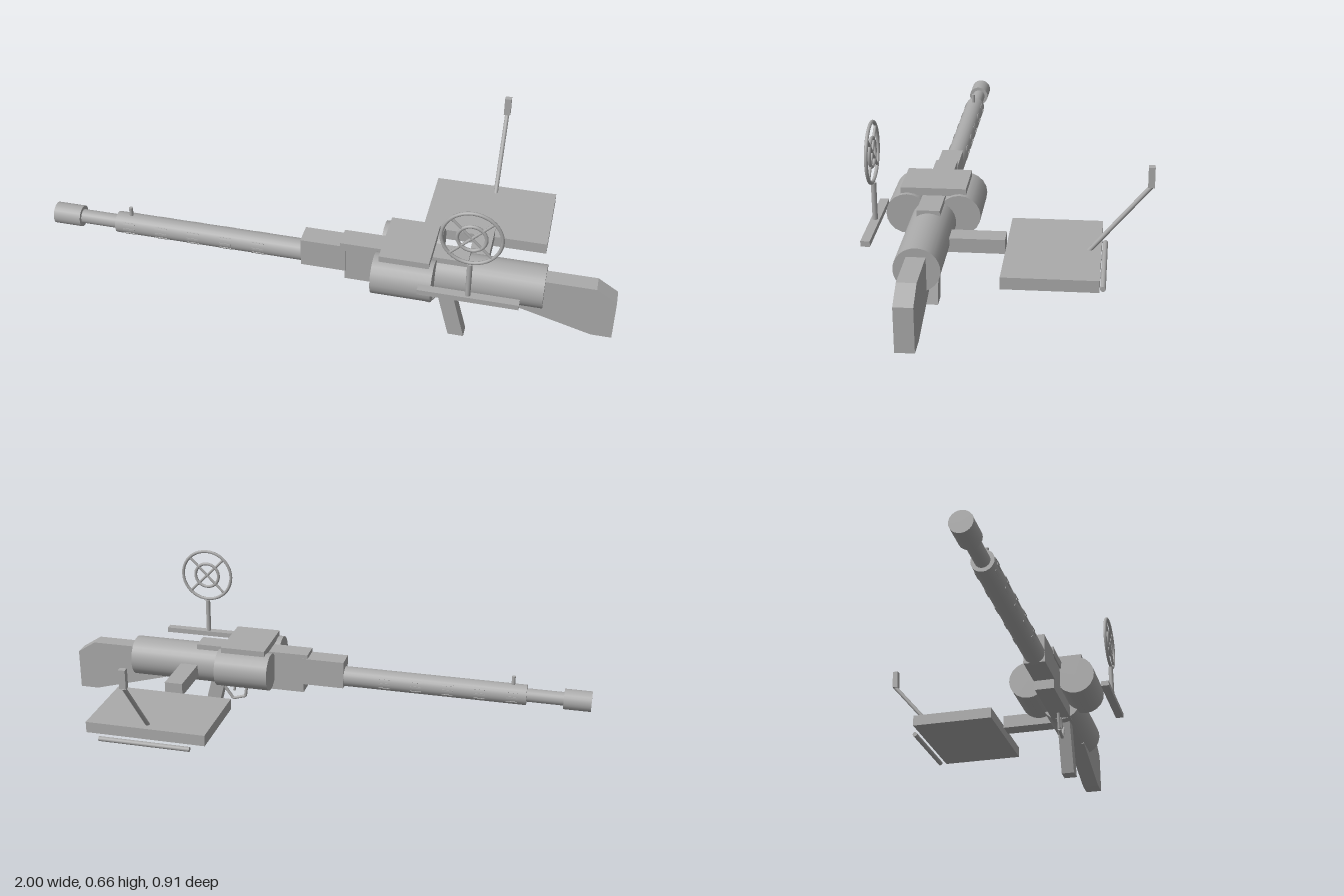
import * as THREE from 'three';

export function createModel() {
  const group = new THREE.Group();
  const metal = new THREE.MeshStandardMaterial({ color: 0xaaaaaa });
  metal.name = 'grey metal';
  const AXIS_Y = 0.26, AXIS_Z = 0.27;

  const add = (name, geometry) => {
    const mesh = new THREE.Mesh(geometry, metal);
    mesh.name = name;
    group.add(mesh);
    return mesh;
  };
  // box given by its limits on each axis
  const box = (name, x0, x1, y0, y1, z0, z1) =>
    add(name, new THREE.BoxGeometry(x1 - x0, y1 - y0, z1 - z0))
      .position.set((x0 + x1) / 2, (y0 + y1) / 2, (z0 + z1) / 2);
  // cylinder between two points
  const rod = (name, a, b, r, sides = 24) => {
    const from = new THREE.Vector3(...a), to = new THREE.Vector3(...b);
    const dir = to.clone().sub(from);
    const mesh = add(name, new THREE.CylinderGeometry(r, r, dir.length(), sides));
    mesh.position.copy(from).add(to).multiplyScalar(0.5);
    mesh.quaternion.setFromUnitVectors(new THREE.Vector3(0, 1, 0), dir.normalize());
    return mesh;
  };
  const along = (name, x0, x1, r, y = AXIS_Y, z = AXIS_Z, sides = 24) =>
    rod(name, [x0, y, z], [x1, y, z], r, sides);
  // side profile extruded across z
  const plate = (name, points, width) => {
    const shape = new THREE.Shape(points.map(p => new THREE.Vector2(...p)));
    add(name, new THREE.ExtrudeGeometry(shape, { depth: width, bevelEnabled: false }))
      .position.z = AXIS_Z + 0.002 - width / 2;
  };

  // barrel
  along('muzzle', -1, -0.9, 0.038);
  along('barrel', -0.91, -0.75, 0.025);
  along('barrelJacket', -0.765, -0.07, 0.038);
  rod('foreSight', [-0.713, 0.28, AXIS_Z], [-0.713, 0.33, AXIS_Z], 0.007, 10);

  // vent slots on both sides of the jacket
  for (let i = 0; i < 5; i++) {
    for (const side of [0, Math.PI]) {
      for (const tilt of [-0.55, 0, 0.55]) {
        const a = side + tilt;
        const slot = add('ventSlot', new THREE.BoxGeometry(0.042, 0.007, 0.006));
        slot.position.set(-0.713 + i * 0.119, AXIS_Y - Math.sin(a) * 0.037, AXIS_Z + Math.cos(a) * 0.037);
        slot.rotation.x = a;
      }
    }
  }

  // receiver
  box('receiverFront', -0.08, 0.08, 0.225, 0.33, 0.232, 0.308);
  box('receiverLower', 0.075, 0.4, 0.19, 0.315, 0.235, 0.305);
  box('topCover', 0.06, 0.5, 0.315, 0.345, 0.234, 0.31);
  along('receiverBody', 0.36, 0.76, 0.075, AXIS_Y, 0.271, 32);

  // twin drum magazine
  for (const z of [0.36, 0.184]) along('drum', 0.19, 0.395, 0.071, 0.284, z, 20);
  box('drumCover', 0.21, 0.38, 0.347, 0.373, 0.163, 0.383);

  // stock, grip and trigger
  plate('stock', [[0.64, 0.188], [0.93, 0.108], [1, 0.108], [1, 0.26], [0.93, 0.305], [0.7, 0.305]], 0.062);
  plate('grip', [[0.395, 0.195], [0.445, 0.0], [0.5, 0.0], [0.45, 0.195]], 0.047);
  const guard = [[0.31, 0.2], [0.32, 0.13], [0.37, 0.115], [0.405, 0.165]];
  for (let i = 0; i < 3; i++) rod('triggerGuard', [...guard[i], AXIS_Z], [...guard[i + 1], AXIS_Z], 0.006, 8);
  rod('trigger', [0.355, 0.2, AXIS_Z], [0.365, 0.15, AXIS_Z], 0.005, 8);

  // side tray with its arm, bar and slanted lever
  box('trayArm', 0.487, 0.555, 0.226, 0.275, 0.016, 0.22);
  box('tray', 0.297, 0.742, 0.196, 0.237, -0.294, 0.015);
  along('trayBar', 0.35, 0.69, 0.009, 0.182, -0.304, 10);
  rod('lever', [0.521, 0.232, -0.253], [0.521, 0.465, -0.447], 0.008, 12);
  box('leverHandle', 0.509, 0.533, 0.464, 0.533, -0.457, -0.436);

  // ring sight on a post
  const SX = 0.521, SY = 0.552, SZ = 0.443;
  box('sightBase', 0.355, 0.69, 0.3, 0.319, SZ - 0.015, SZ + 0.015);
  rod('sightPost', [SX, 0.315, SZ], [SX, 0.448, SZ], 0.009, 12);
  for (const r of [0.098, 0.047]) {
    add('sightRing', new THREE.TorusGeometry(r, 0.006, 8, 40)).position.set(SX, SY, SZ);
  }
  for (const s of [1, -1]) {
    const d = 0.098 * Math.SQRT1_2;
    rod('sightSpoke', [SX - d, SY - d * s, SZ], [SX + d, SY + d * s, SZ], 0.005, 8);
  }
  return group;
}
